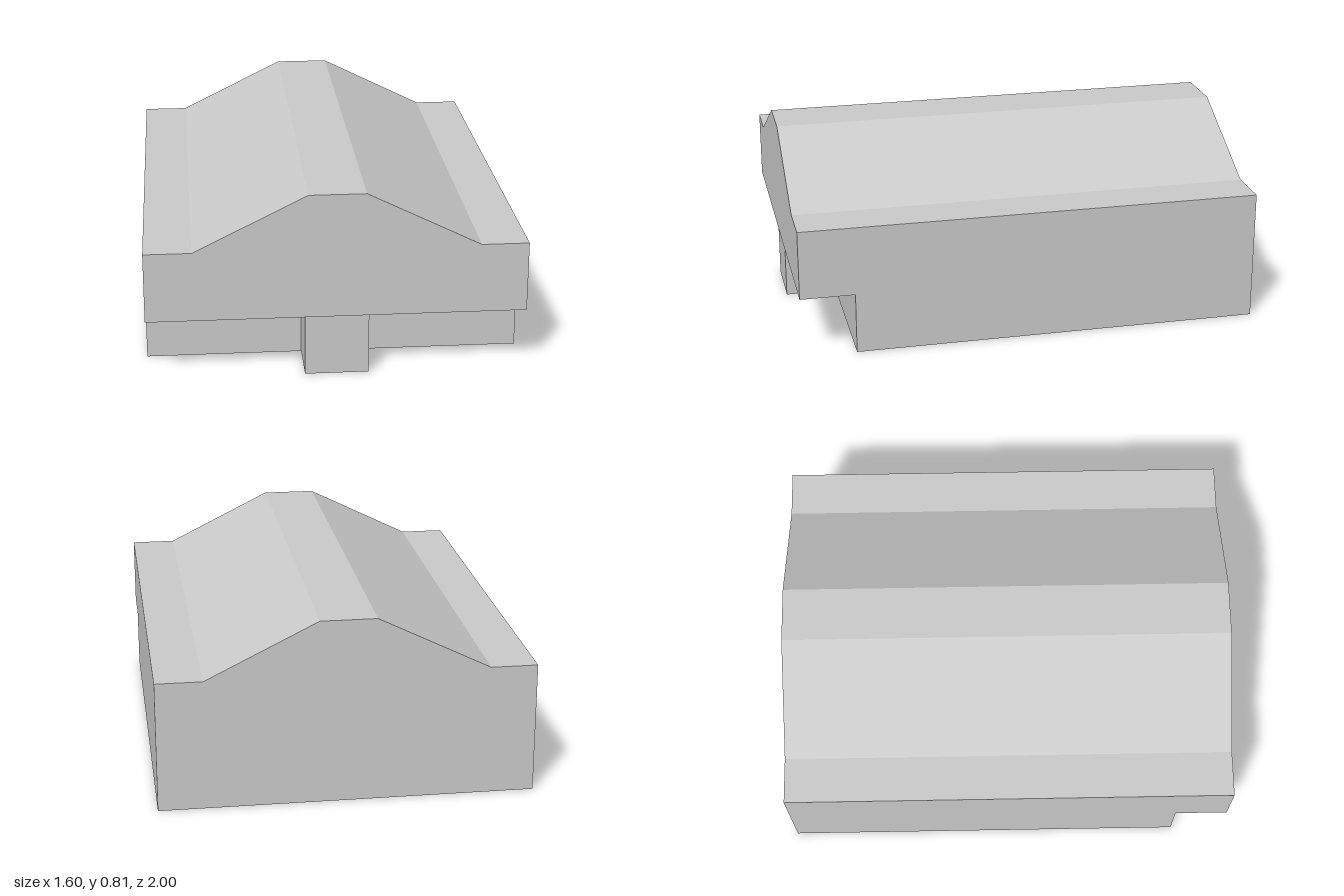
import * as THREE from 'three';

const HALF_WIDTH = 0.8, FLOOR_TOP = 0.265, BACK = -1;

export function createModel() {
  const group = new THREE.Group();
  const material = new THREE.MeshStandardMaterial({ color: 0xcccccc, flatShading: true });

  const add = (name, geometry) => {
    const mesh = new THREE.Mesh(geometry, material);
    mesh.name = name;
    group.add(mesh);
  };

  // Box spanning the ground floor height between two depths
  const groundBlock = (name, halfWidth, z0, z1) => {
    const geometry = new THREE.BoxGeometry(halfWidth * 2, FLOOR_TOP, z1 - z0);
    geometry.translate(0, FLOOR_TOP / 2, (z0 + z1) / 2);
    add(name, geometry);
  };

  // Upper storey and raised roof: mirrored gable profile run along the full depth
  const rightHalf = [[HALF_WIDTH, FLOOR_TOP], [HALF_WIDTH, 0.567], [0.6, 0.567], [0.12, 0.805]];
  const leftHalf = rightHalf.map(([x, y]) => [-x, y]).reverse();
  const profile = new THREE.Shape([...rightHalf, ...leftHalf].map(([x, y]) => new THREE.Vector2(x, y)));
  const upper = new THREE.ExtrudeGeometry(profile, { depth: 2, bevelEnabled: false });
  upper.translate(0, 0, BACK);
  add('upperStoreyAndRoof', upper);

  // Recessed ground floor and the entrance block under the front overhang
  groundBlock('groundFloor', HALF_WIDTH, BACK, 0.765);
  groundBlock('entranceBlock', 0.135, 0.765, 0.99);

  return group;
}
